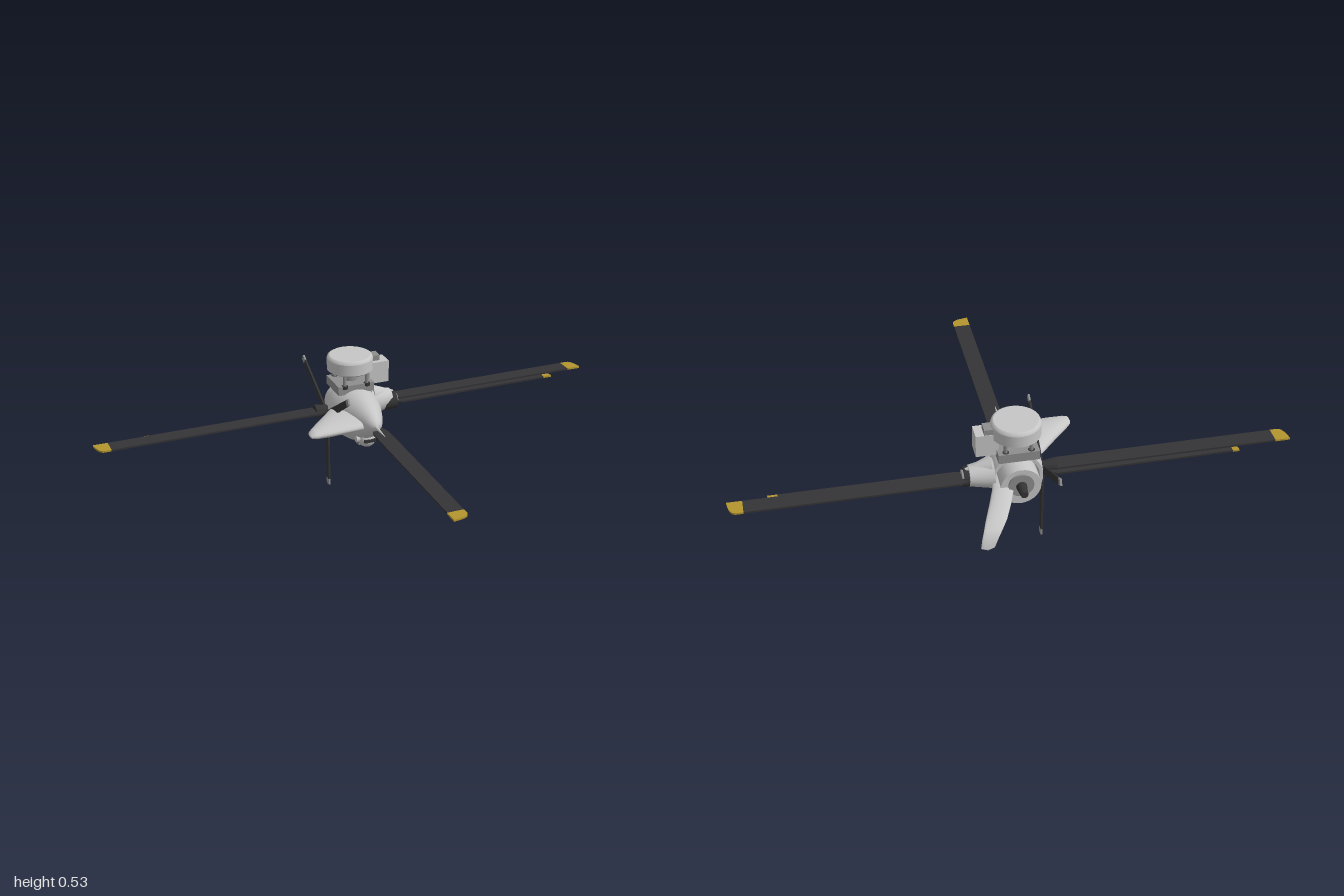
import * as THREE from 'three';

const mat = (name, color) => {
  const m = new THREE.MeshStandardMaterial({ color, side: THREE.DoubleSide });
  m.name = name;
  return m;
};

// Smooth skin over elliptical rings given as [center, radiusVectorA, radiusVectorB]
function loft(rings, sides = 28) {
  const pos = [], idx = [];
  rings.forEach(([c, a, b], r) => {
    for (let i = 0; i < sides; i++) {
      const t = (i / sides) * Math.PI * 2, u = Math.cos(t), v = Math.sin(t);
      for (let k = 0; k < 3; k++) pos.push(c[k] + a[k] * u + b[k] * v);
      if (r < rings.length - 1) {
        const p = r * sides + i, q = r * sides + (i + 1) % sides;
        idx.push(p, q, p + sides, q, q + sides, p + sides);
      }
    }
  });
  const g = new THREE.BufferGeometry();
  g.setAttribute('position', new THREE.Float32BufferAttribute(pos, 3));
  g.setIndex(idx);
  g.computeVertexNormals();
  return g;
}

export function createModel() {
  const root = new THREE.Group();
  root.name = 'rotorcraftParts';
  const grey = mat('lightGrey', 0xc6c6c6);
  const mid = mat('midGrey', 0x8e8e8e);
  const dark = mat('charcoal', 0x343436);
  const yellow = mat('tipYellow', 0xb4962f);

  const add = (name, geo, material, x = 0, y = 0, z = 0, parent = root) => {
    const m = new THREE.Mesh(geo, material);
    m.name = name;
    m.position.set(x, y, z);
    parent.add(m);
    return m;
  };
  const box = (name, material, w, h, d, x, y, z) => add(name, new THREE.BoxGeometry(w, h, d), material, x, y, z);
  const cyl = (name, material, r1, r2, h, x, y, z, axis = 'y', sides = 24) => {
    const g = new THREE.CylinderGeometry(r1, r2, h, sides);
    if (axis === 'x') g.rotateZ(-Math.PI / 2);
    if (axis === 'z') g.rotateX(Math.PI / 2);
    return add(name, g, material, x, y, z);
  };

  // Egg-shaped fuselage with a hollow stern: z, centre y, half width, half height
  const hull = [
    [-0.088, 0.34, 0, 0], [-0.093, 0.339, 0.014, 0.015], [-0.105, 0.337, 0.026, 0.028],
    [-0.13, 0.333, 0.04, 0.048], [-0.19, 0.3225, 0.065, 0.078], [-0.25, 0.3115, 0.086, 0.097],
    [-0.31, 0.306, 0.098, 0.104], [-0.36, 0.302, 0.099, 0.103], [-0.392, 0.3, 0.092, 0.1],
    [-0.392, 0.3, 0.092, 0.1], [-0.392, 0.3, 0.08, 0.087],
    [-0.392, 0.3, 0.08, 0.087], [-0.365, 0.3, 0.07, 0.076], [-0.355, 0.3, 0, 0],
  ];
  add('fuselage', loft(hull.map(([z, y, w, h]) => [[0, y, z], [w, 0, 0], [0, h, 0]]), 40), grey);
  cyl('pitotProbe', grey, 0.001, 0.007, 0.085, 0, 0.337, -0.05, 'z', 10);

  // Stern housing: an upper drum with the exhaust behind it
  const stern = new THREE.CylinderGeometry(0.072, 0.072, 0.085, 28);
  stern.rotateX(Math.PI / 2);
  add('sternHousing', stern, grey, 0, 0.308, -0.408);
  cyl('exhaustFlange', mid, 0.045, 0.045, 0.01, 0, 0.318, -0.453, 'z');
  cyl('exhaustPipe', dark, 0.02, 0.013, 0.055, 0, 0.316, -0.48, 'z', 16);

  // Chin sensor
  add('chinTurret', new THREE.SphereGeometry(0.035, 20, 14), grey, 0, 0.252, -0.19);
  box('chinMount', mid, 0.07, 0.03, 0.055, 0, 0.245, -0.21);
  box('chinWindow', dark, 0.045, 0.012, 0.008, 0, 0.253, -0.156);
  for (const s of [-1, 1]) cyl('chinPivot', grey, 0.014, 0.014, 0.014, s * 0.037, 0.255, -0.19, 'x', 16);

  // Rooftop drum on its posts
  const drum = [[0, 0.468], [0.08, 0.468], [0.088, 0.474], [0.088, 0.474], [0.088, 0.518], [0.088, 0.518],
    [0.085, 0.526], [0.078, 0.53], [0.078, 0.53], [0, 0.53]];
  add('roofDrum', new THREE.LatheGeometry(drum.map(p => new THREE.Vector2(...p)), 36), grey, 0, 0, -0.358);
  box('roofPlinth', mid, 0.145, 0.035, 0.13, 0, 0.412, -0.355);
  cyl('roofColumn', mid, 0.026, 0.03, 0.07, 0, 0.44, -0.355, 'y', 6);
  for (const x of [-0.045, 0.045]) for (const z of [-0.297, -0.405]) {
    cyl('roofPost', mid, 0.007, 0.007, 0.065, x, 0.44, z, 'y', 12);
    cyl('postFoot', dark, 0.012, 0.012, 0.012, x, 0.424, z, 'y', 12);
  }
  box('sideEquipmentBox', grey, 0.08, 0.085, 0.065, 0.105, 0.452, -0.352);
  box('sideEquipmentCap', mid, 0.03, 0.025, 0.045, 0.1, 0.503, -0.36);

  // Side rotor hub and its fairing
  cyl('hubFairing', grey, 0.038, 0.055, 0.085, 0.125, 0.318, -0.365, 'x');
  cyl('hubSleeve', dark, 0.036, 0.036, 0.05, 0.16, 0.31, -0.358, 'x');
  cyl('hubCollar', mid, 0.024, 0.024, 0.01, 0.187, 0.312, -0.358, 'x', 20);
  cyl('hubCone', grey, 0.004, 0.04, 0.09, 0.135, 0.345, -0.362, 'x');
  cyl('oppositeHub', dark, 0.018, 0.026, 0.06, -0.115, 0.314, -0.36, 'x', 16);

  // Main blades: dark plank plus a yellow tip with one swept corner
  const plate = (pts, corner) => {
    const s = new THREE.Shape();
    s.moveTo(...pts[0]);
    pts.slice(1).forEach(p => s.lineTo(...p));
    if (corner) s.quadraticCurveTo(...corner);
    s.closePath();
    const g = new THREE.ExtrudeGeometry(s, { depth: 0.007, bevelEnabled: false, curveSegments: 8 });
    g.rotateX(-Math.PI / 2);
    return g;
  };
  const mainBlade = (name, turn, r0, r1, tip, x, y, z) => {
    const b = new THREE.Group();
    b.name = name;
    const w = 0.031, t = r1 - tip;
    add('bladePlank', plate([[r0, -w * 0.6], [r0 + 0.04, -w], [t, -w], [t, w], [r0 + 0.04, w], [r0, w * 0.6]]), dark, 0, 0, 0, b);
    add('bladeTip', plate([[t, w], [t, -w], [r1, -w], [r1 - 0.005, 0]], [r1 - 0.012, w, r1 - 0.03, w]), yellow, 0, 0, 0, b);
    b.rotation.y = turn;
    b.position.set(x, y, z);
    root.add(b);
  };
  mainBlade('leftBlade', 0, 0.165, 1, 0.055, 0, 0.312, -0.377);
  mainBlade('rightBlade', Math.PI, 0.1, 1, 0.055, 0, 0.312, -0.355);
  mainBlade('frontBlade', -Math.PI / 2, 0.245, 0.995, 0.055, 0.0125, 0.314, -0.36);
  mainBlade('lowerLeftBlade', 0, 0.165, 0.86, 0.035, 0, 0.304, -0.357);
  mainBlade('lowerRightBlade', Math.PI, 0.1, 0.805, 0.025, 0, 0.304, -0.373);

  // Three-bladed side rotor, each blade aimed at its tip (y, z)
  const hub = [0.295, -0.35];
  for (const [y, z] of [[0, -0.347], [0.436, -0.61], [0.448, -0.115]]) {
    const dy = y - hub[0], dz = z - hub[1], len = Math.hypot(dy, dz);
    const b = new THREE.Group();
    b.name = 'sideRotorBlade';
    const g = new THREE.BoxGeometry(0.007, len - 0.025, 0.032);
    const p = g.attributes.position;
    for (let i = 0; i < p.count; i++) if (p.getY(i) > 0) p.setZ(i, p.getZ(i) * 0.75);
    add('sideBladePlank', g, dark, 0, (len - 0.025) / 2, 0, b);
    add('sideBladeTip', new THREE.BoxGeometry(0.007, 0.025, 0.024), mid, 0, len - 0.0125, 0, b);
    b.rotation.x = Math.atan2(dz, dy);
    b.position.set(-0.099, ...hub);
    root.add(b);
  }
  cyl('sideRotorHub', dark, 0.02, 0.02, 0.02, -0.1, ...hub, 'x', 16);

  // Forward stub wing: x, front z, rear z, half thickness
  const wing = [[-0.04, -0.115, -0.345, 0.028], [-0.1, -0.113, -0.315, 0.027], [-0.17, -0.111, -0.237, 0.025],
    [-0.225, -0.11, -0.18, 0.017], [-0.245, -0.113, -0.157, 0.008], [-0.25, -0.135, -0.136, 0]];
  add('stubWing', loft(wing.map(([x, f, r, t]) => [[x, 0.33, (f + r) / 2], [0, 0, (f - r) / 2], [0, t, 0]])), grey);

  // Drooping tail fin: z, y, inner x, outer x, half thickness
  const fin = [[-0.36, 0.31, 0.01, 0.085, 0.016], [-0.44, 0.302, 0.022, 0.1, 0.014], [-0.51, 0.292, 0.047, 0.125, 0.011],
    [-0.575, 0.28, 0.075, 0.15, 0.008], [-0.61, 0.266, 0.098, 0.163, 0.007], [-0.627, 0.245, 0.115, 0.172, 0.006],
    [-0.636, 0.215, 0.13, 0.178, 0.004], [-0.638, 0.207, 0.152, 0.156, 0.001]];
  add('tailFin', loft(fin.map(([z, y, a, b, t], i) => {
    const down = Math.min(1, Math.max(0, (i - 3) / 3));
    return [[(a + b) / 2, y, z], [(b - a) / 2, 0, 0], [0, t * (1 - down * 0.8), -t * down]];
  })), grey);

  return root;
}
